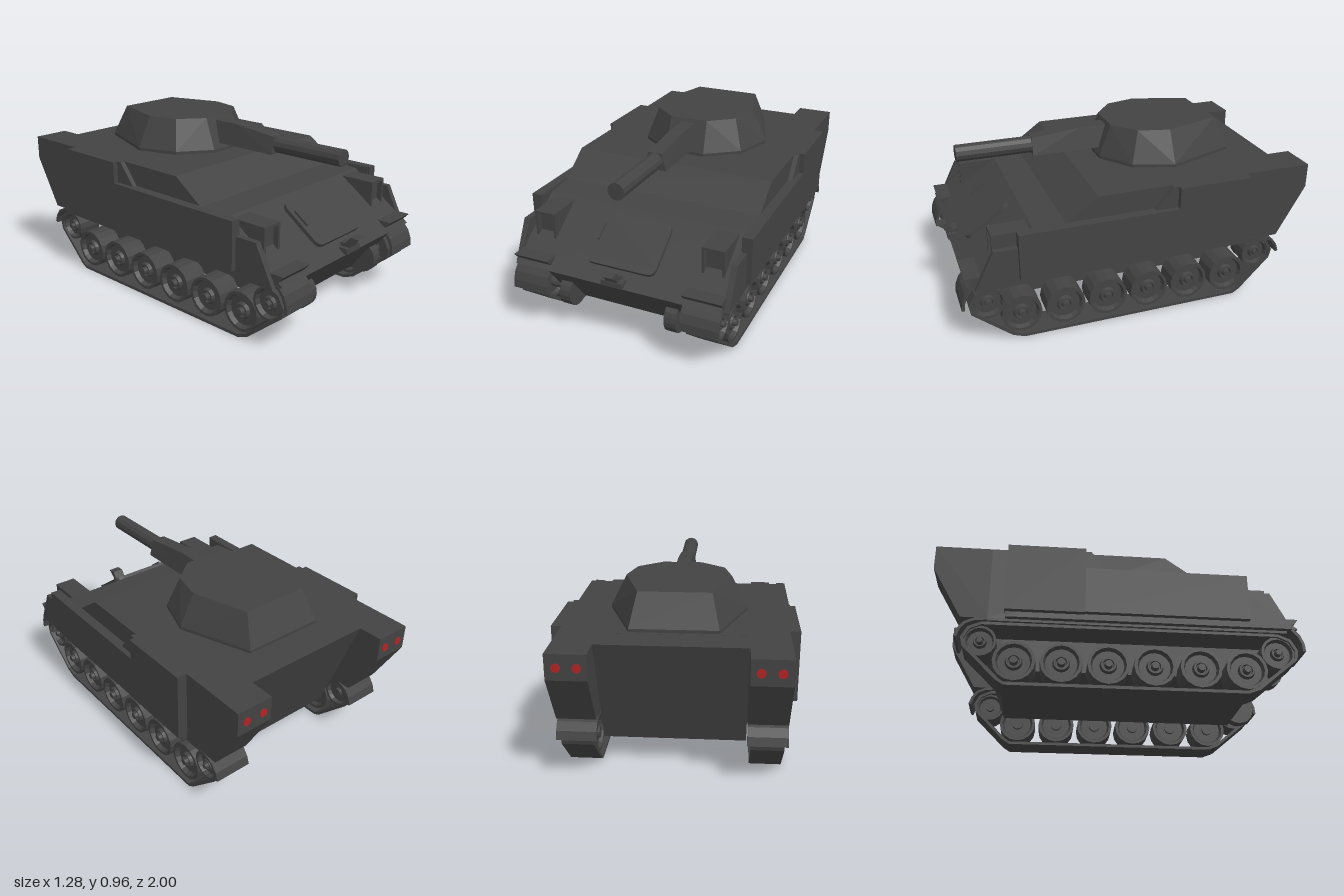
import * as THREE from 'three';
import { ConvexGeometry } from 'three/addons/geometries/ConvexGeometry.js';

const material = (name, color) => {
  const m = new THREE.MeshStandardMaterial({ color });
  m.name = name;
  return m;
};

export function createModel() {
  const model = new THREE.Group();
  const armour = material('dark grey armour', 0x434343);
  const red = material('tail light red', 0xb02424);

  const add = (name, geometry, mat = armour, parent = model) => {
    const flat = geometry.index ? geometry.toNonIndexed() : geometry;
    flat.computeVertexNormals();
    const mesh = new THREE.Mesh(flat, mat);
    mesh.name = name;
    parent.add(mesh);
    return mesh;
  };
  const toPoints = (list) => list.map(([a, b]) => new THREE.Vector2(a, b));

  // Side profile given as [z, y], extruded across from xa to xb
  const slab = (profile, xa, xb, hole) => {
    const shape = new THREE.Shape(toPoints(profile));
    if (hole) shape.holes.push(new THREE.Path(toPoints(hole)));
    const g = new THREE.ExtrudeGeometry(shape, { depth: Math.abs(xb - xa), bevelEnabled: false });
    return g.rotateY(-Math.PI / 2).translate(Math.max(xa, xb), 0, 0);
  };
  const box = (w, h, d, x, y, z) => new THREE.BoxGeometry(w, h, d).translate(x, y, z);
  const cylinderX = (r, length, x, y, z, sides = 20) =>
    new THREE.CylinderGeometry(r, r, length, sides).rotateZ(Math.PI / 2).translate(x, y, z);

  // Points moved sideways by a distance, along the averaged normal of their neighbours
  const offset = (points, distance, closed) => points.map(([x, y], i) => {
    const n = points.length;
    const a = points[closed ? (i + n - 1) % n : Math.max(i - 1, 0)];
    const b = points[closed ? (i + 1) % n : Math.min(i + 1, n - 1)];
    const dx = b[0] - a[0], dy = b[1] - a[1], l = Math.hypot(dx, dy);
    return [x - (dy / l) * distance, y + (dx / l) * distance];
  });
  const strip = (points, thickness, xa, xb) =>
    slab([...points, ...offset(points, thickness, false).reverse()], xa, xb);

  // Hull
  add('upperHull', slab([[-0.7, 0.36], [0.9, 0.36], [0.94, 0.375], [0.575, 0.635],
    [0.41, 0.65], [0.235, 0.775], [-0.7, 0.775]], -0.585, 0.585));
  add('lowerHull', slab([[-0.64, 0.16], [0.78, 0.16], [0.94, 0.375], [0.7, 0.5],
    [-0.6, 0.774], [-0.865, 0.775]], -0.38, 0.38));

  // Hatch lying on the sloped front plate
  const glacis = new THREE.Group();
  glacis.name = 'frontHatch';
  glacis.position.set(0, 0.517, 0.74);
  glacis.rotation.x = -Math.atan2(0.365, 0.26);
  model.add(glacis);
  const hatch = new THREE.Shape();
  const hw = 0.198, hh = 0.148, r = 0.045;
  hatch.moveTo(-hw + r, -hh).lineTo(hw - r, -hh).quadraticCurveTo(hw, -hh, hw, -hh + r);
  hatch.lineTo(hw, hh - r).quadraticCurveTo(hw, hh, hw - r, hh);
  hatch.lineTo(-hw + r, hh).quadraticCurveTo(-hw, hh, -hw, hh - r);
  hatch.lineTo(-hw, -hh + r).quadraticCurveTo(-hw, -hh, -hw + r, -hh);
  add('hatchPlate', new THREE.ExtrudeGeometry(hatch, { depth: 0.022, bevelEnabled: false, curveSegments: 5 }), armour, glacis);
  add('hatchHandle', box(0.008, 0.1, 0.012, -0.17, 0.03, 0.028), armour, glacis);

  // Tow hook
  add('towPlate', box(0.12, 0.03, 0.05, 0, 0.395, 0.925));
  add('towHook', slab([[0.89, 0.39], [0.94, 0.39], [0.955, 0.43], [1, 0.465], [0.95, 0.468],
    [0.92, 0.43], [0.89, 0.43]], -0.034, 0.034));

  // Turret: eight-sided, tapered, with a low lip
  const half = { base: [[0.12, 0.07], [0.3, -0.06], [0.375, -0.285], [0.23, -0.68]],
    top: [[0.11, 0], [0.245, -0.11], [0.287, -0.285], [0.19, -0.6]] };
  const ring = (points, y) => points.flatMap(([x, z]) =>
    [new THREE.Vector3(x, y, z), new THREE.Vector3(-x, y, z)]);
  add('turret', new ConvexGeometry([...ring(half.base, 0.77), ...ring(half.base, 0.792), ...ring(half.top, 0.965)]));

  // Gun
  const mantlet = [[0.44, 0.915], [0.16, 0.945], [-0.1, 0.945]].flatMap(([z, top]) =>
    [-1, 1].flatMap((s) => [new THREE.Vector3(s * 0.064, 0.82, z), new THREE.Vector3(s * 0.04, top, z)]));
  add('gunSleeve', new ConvexGeometry(mantlet));
  add('gunBarrel', new THREE.CylinderGeometry(0.047, 0.047, 0.46, 12).rotateX(Math.PI / 2).translate(0, 0.868, 0.63));

  // Wheel turned from a profile, axis along x, outer face towards the given side
  const wheel = (radius, s, z, y) => {
    const p = [[0, -0.07], [0.3, -0.07], [0.3, -0.05], [0.75, -0.05], [0.85, -0.07], [1, -0.07],
      [1, 0.07], [0.85, 0.07], [0.76, 0.045], [0.42, 0.045], [0.36, 0.065], [0.28, 0.065],
      [0.25, 0.05], [0.2, 0.05], [0.17, 0.082], [0, 0.082]];
    return new THREE.LatheGeometry(toPoints(p.map(([a, b]) => [a * radius, b])), 16)
      .rotateZ(-s * Math.PI / 2).translate(s * 0.487, y, z);
  };

  const trackLoop = [[0.65, 0], [0.715, 0.025], [0.925, 0.2], [0.935, 0.255], [0.9, 0.318],
    [0.83, 0.347], [-0.73, 0.347], [-0.8, 0.315], [-0.832, 0.255], [-0.82, 0.205],
    [-0.64, 0.025], [-0.6, 0]];

  for (const s of [1, -1]) {
    const side = s > 0 ? 'left' : 'right';
    const part = (name, geometry, mat) => add(side + name, geometry, mat);

    // Rear sponson with tail lights
    part('RearBox', slab([[-0.69, 0.36], [-0.69, 0.775], [-1, 0.775], [-1, 0.64], [-0.84, 0.36]], s * 0.38, s * 0.585));
    for (const x of [0.43, 0.53]) {
      part('TailLight', new THREE.CylinderGeometry(0.023, 0.023, 0.008, 14)
        .rotateX(Math.PI / 2).translate(s * x, 0.705, -1), red);
    }

    // Side armour: inner panel, low front skirt, tall rear skirt
    part('SidePanel', slab([[-0.61, 0.36], [0.9, 0.36], [0.87, 0.42], [0.795, 0.57], [0.66, 0.57],
      [0.66, 0.65], [-0.07, 0.65], [-0.17, 0.774], [-0.61, 0.774]], s * 0.58, s * 0.612));
    part('FrontSkirt', box(0.055, 0.262, 0.87, s * 0.6125, 0.524, 0.235));
    part('RearSkirt', box(0.055, 0.385, 0.415, s * 0.6125, 0.5825, -0.4075));

    // Headlight hood: roof and cheeks around a recessed lamp face
    part('HeadlightRoof', box(0.122, 0.014, 0.2, s * 0.482, 0.618, 0.69));
    for (const x of [0.428, 0.536]) {
      part('HeadlightCheek', slab([[0.59, 0.62], [0.79, 0.482], [0.79, 0.62]], s * x - 0.007, s * x + 0.007));
    }
    part('HeadlightFace', slab([[0.59, 0.615], [0.76, 0.495], [0.76, 0.615]], s * 0.43, s * 0.534));

    // Fender and mudguards
    part('Fender', box(0.205, 0.018, 1.6, s * 0.4825, 0.355, 0.08));
    part('FrontFenderNose', slab([[0.85, 0.375], [0.9, 0.38], [0.945, 0.43], [0.85, 0.43]], s * 0.38, s * 0.587));
    part('FrontMudguard', strip([[0.88, 0.385], [0.92, 0.37], [0.95, 0.335], [0.968, 0.29], [0.972, 0.245]], -0.016, s * 0.38, s * 0.587));
    part('RearMudguard', strip([[-0.7, 0.365], [-0.77, 0.358], [-0.82, 0.335], [-0.85, 0.295], [-0.865, 0.25]], 0.016, s * 0.38, s * 0.587));

    // Track and wheels
    part('Track', slab(trackLoop, s * 0.4, s * 0.57, offset(trackLoop, 0.017, true)));
    for (let i = 0; i < 6; i++) part('RoadWheel', wheel(0.11, s, 0.655 - i * 0.242, 0.14));
    part('DriveSprocket', wheel(0.092, s, 0.83, 0.243));
    part('RearIdler', wheel(0.085, s, -0.733, 0.243));
    part('FinalDrive', cylinderX(0.09, 0.064, s * 0.305, 0.23, 0.83));
    part('FrontAxle', cylinderX(0.03, 0.1, s * 0.38, 0.24, 0.83, 10));
  }
  return model;
}
